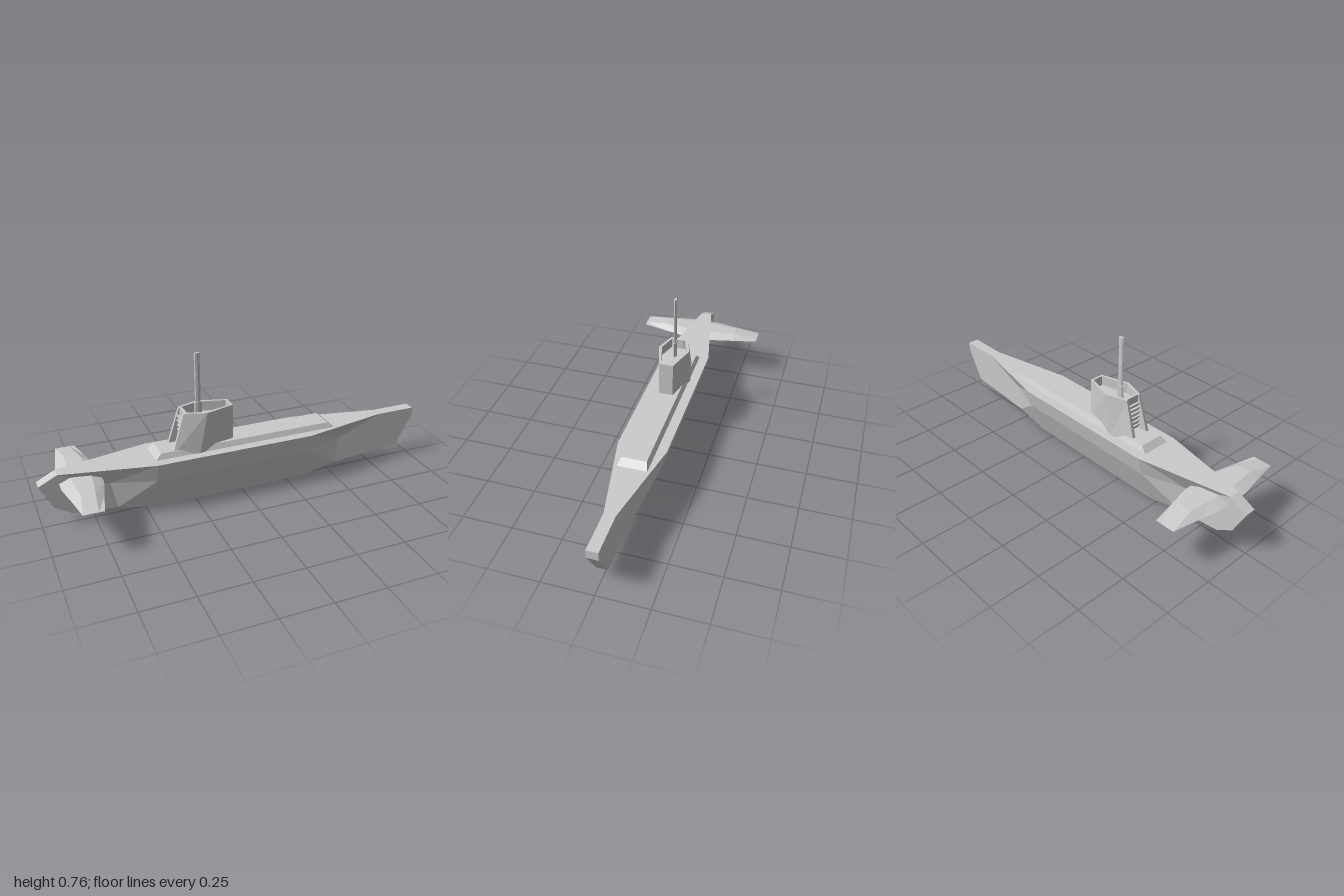
import * as THREE from 'three';

const grey = new THREE.MeshStandardMaterial({ color: 0xcccccc, flatShading: true });
const V = (x, y, z) => new THREE.Vector3(x, y, z);

// Flat-shaded geometry from a list of corners, three per face
function facets(corners) {
  const g = new THREE.BufferGeometry().setFromPoints(corners);
  g.computeVertexNormals();
  return g;
}

// Mirror corners across z and restore the winding
const mirrored = (corners) => corners.map((p) => V(p.x, p.y, -p.z)).reverse();

// Skin a series of matching rings, with a cap on the last one
function loft(rings) {
  const out = [];
  for (let r = 0; r < rings.length - 1; r++) {
    const a = rings[r], b = rings[r + 1];
    a.forEach((p, i) => {
      const j = (i + 1) % a.length;
      out.push(p, a[j], b[j], p, b[j], b[i]);
    });
  }
  const last = rings[rings.length - 1];
  const mid = last.reduce((s, p) => s.add(p), V(0, 0, 0)).divideScalar(last.length);
  last.forEach((p, i) => out.push(p, last[(i + 1) % last.length], mid));
  return out;
}

function add(parent, name, geometry, x = 0, y = 0, z = 0) {
  const m = new THREE.Mesh(geometry, grey);
  m.name = name;
  m.position.set(x, y, z);
  parent.add(m);
  return m;
}

export function createModel() {
  const model = new THREE.Group();
  model.name = 'submarine';
  const body = new THREE.Group();
  body.name = 'body';
  body.position.z = -0.004;
  model.add(body);

  // Central keel plate forming bow, stern and bottom
  const w = 0.028;
  const outline = [[-0.91, 0.275], [-1, 0.23], [-0.94, 0.11], [-0.86, 0.06], [-0.64, 0.04], [-0.46, 0],
    [0.34, 0], [0.53, 0.04], [0.91, 0.07], [1, 0.23], [1, 0.275]];
  const keel = new THREE.ExtrudeGeometry(
    new THREE.Shape(outline.map(([x, y]) => new THREE.Vector2(x, y))), { depth: 2 * w, bevelEnabled: false });
  add(body, 'keel', keel, 0, 0, -w);

  // Hull flank: deck edge, chine and bottom edge, four stations each
  const rows = [
    [V(-0.91, 0.275, w), V(-0.46, 0.275, 0.12), V(0.34, 0.275, 0.12), V(0.79, 0.275, w)],
    [V(-0.67, 0.18, w), V(-0.46, 0.18, 0.098), V(0.34, 0.18, 0.098), V(0.55, 0.18, w)],
    [V(-0.64, 0.04, w), V(-0.46, 0, w), V(0.34, 0, w), V(0.53, 0.04, w)],
  ];
  const flank = [];
  for (let r = 0; r < 2; r++) {
    for (let i = 0; i < 3; i++) {
      const t = rows[r], c = rows[r + 1];
      if (i === 0) flank.push(t[0], c[0], t[1], c[0], c[1], t[1]);
      else flank.push(t[i], c[i], c[i + 1], t[i], c[i + 1], t[i + 1]);
    }
  }
  const d = rows[0];
  flank.push(d[0], d[1], d[2], d[0], d[2], d[3]);
  add(body, 'leftFlank', facets(flank));
  add(body, 'rightFlank', facets(mirrored(flank)));

  // Raised deck with sloping edges
  const rect = (x0, x1, y, z) => [V(x1, y, z), V(x1, y, -z), V(x0, y, -z), V(x0, y, z)];
  add(body, 'raisedDeck', facets(loft([rect(-0.46, 0.5, 0.27, 0.075), rect(-0.425, 0.46, 0.302, 0.06)])));

  // Tower: six-sided shell with a bridge well on top and a ladder recess behind
  const ring = (y, half) => [
    ...half.map(([x, z]) => V(x, y, -z)),
    ...half.map(([x, z]) => V(x, y, z)).reverse(),
  ];
  const well = [[-0.062, 0.028], [-0.197, 0.064], [-0.286, 0.036], [-0.286, 0.028], [-0.284, 0.026]];
  add(body, 'tower', facets(loft([
    ring(0.275, [[-0.05, 0.035], [-0.235, 0.079], [-0.365, 0.053], [-0.365, 0.036], [-0.305, 0.034]]),
    ring(0.48, [[-0.05, 0.035], [-0.195, 0.079], [-0.302, 0.044], [-0.302, 0.034], [-0.298, 0.032]]),
    ring(0.48, well),
    ring(0.43, well),
  ])));

  // Ladder rungs in the recess
  for (let i = 0; i < 6; i++) {
    add(body, 'ladderRung', new THREE.BoxGeometry(0.012, 0.008, 0.068), -0.307, 0.32 + i * 0.024, 0);
  }

  // Periscope: oval tube in a wider sleeve
  const oval = (rx, rz, h) => new THREE.CylinderGeometry(1, 1, h, 8).scale(rx, 1, rz);
  add(body, 'periscopeSleeve', oval(0.02, 0.0095, 0.085), -0.215, 0.4675, 0);
  add(body, 'periscope', oval(0.0145, 0.007, 0.255), -0.215, 0.6295, 0);

  // Stern planes: hexagonal section tapering to a thin tip
  const section = (z, x0, x1, t0, t1, up, down) => [
    V(x1, 0.228, z), V(t1, 0.228 + up, z), V(t0, 0.228 + up, z),
    V(x0, 0.228, z), V(t0, 0.228 - down, z), V(t1, 0.228 - down, z),
  ];
  const fin = loft([
    section(0, -0.905, -0.71, -0.85, -0.76, 0.022, 0.022),
    section(0.085, -0.905, -0.71, -0.85, -0.76, 0.022, 0.022),
    section(0.2, -0.883, -0.736, -0.84, -0.775, 0.022, 0.022),
    section(0.33, -0.86, -0.765, -0.835, -0.79, 0.001, 0.001),
  ]);
  add(model, 'leftSternPlane', facets(fin));
  add(model, 'rightSternPlane', facets(mirrored(fin)));

  return model;
}
